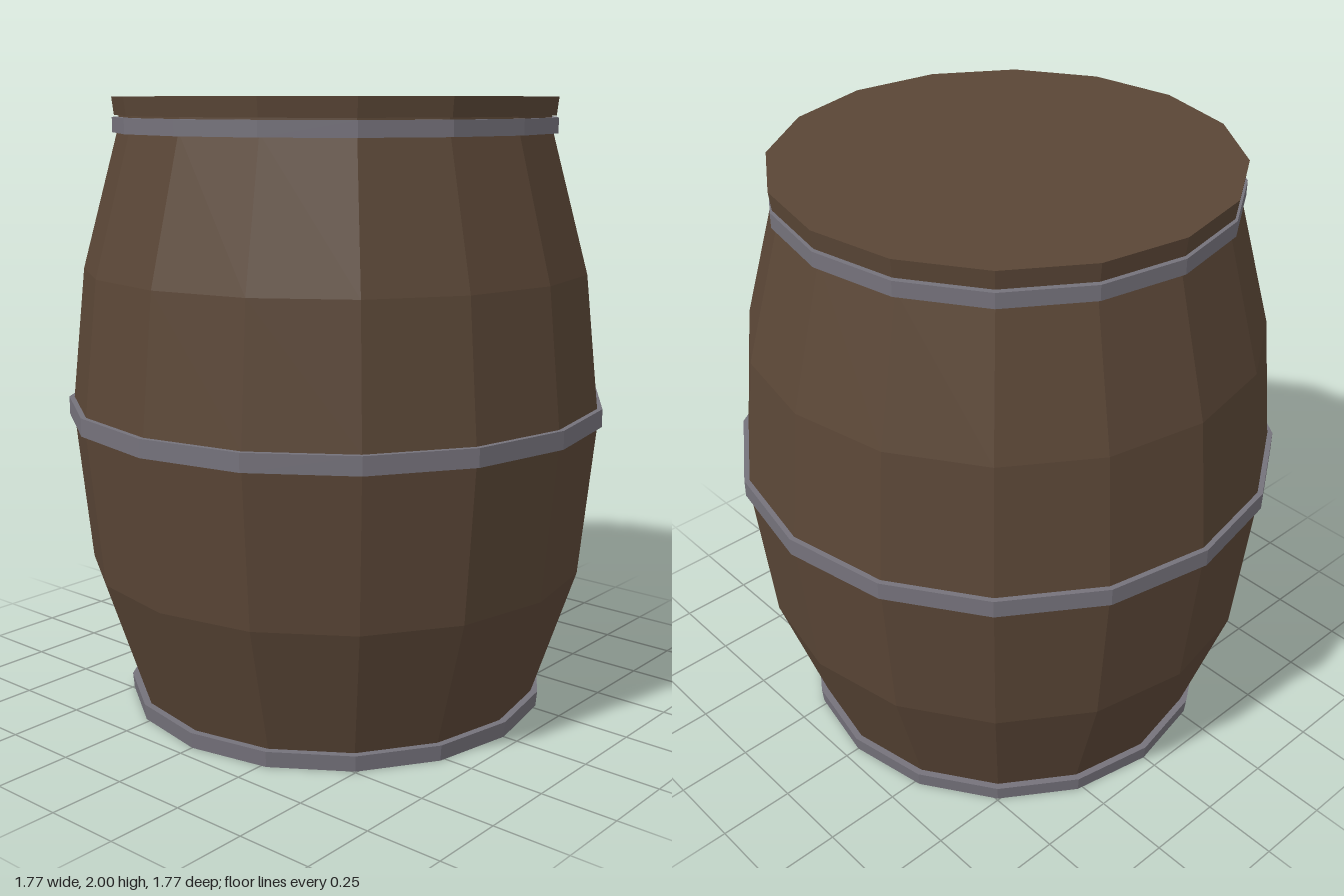
import * as THREE from 'three';

const SIDES = 16;

export function createModel() {
  const model = new THREE.Group();
  model.name = 'barrel';

  const wood = new THREE.MeshStandardMaterial({ color: 0x5a4636, flatShading: true });
  wood.name = 'dark wood';
  const steel = new THREE.MeshStandardMaterial({ color: 0x75727b, flatShading: true });
  steel.name = 'grey steel';

  const add = (name, geometry, material, y = 0) => {
    const mesh = new THREE.Mesh(geometry, material);
    mesh.name = name;
    mesh.position.y = y;
    model.add(mesh);
  };

  // Short faceted drum standing between two heights
  const drum = (name, bottom, top, rBottom, rTop, material) =>
    add(name, new THREE.CylinderGeometry(rTop, rBottom, top - bottom, SIDES), material, (bottom + top) / 2);

  // Bulging staves, closed at both ends
  const profile = [
    [0, 0.03], [0.675, 0.03], [0.822, 0.48], [0.87, 0.97],
    [0.868, 1.03], [0.822, 1.455], [0.7, 1.9], [0.695, 1.95], [0, 1.95],
  ].map(([r, y]) => new THREE.Vector2(r, y));
  add('staves', new THREE.LatheGeometry(profile, SIDES), wood);

  // Lid
  drum('lid', 1.942, 2, 0.711, 0.718, wood);

  // Hoops; the lowest one also closes the base
  drum('bottomHoop', 0, 0.052, 0.7, 0.705, steel);
  drum('middleHoop', 0.972, 1.03, 0.885, 0.885, steel);
  drum('topHoop', 1.888, 1.936, 0.718, 0.718, steel);

  return model;
}
